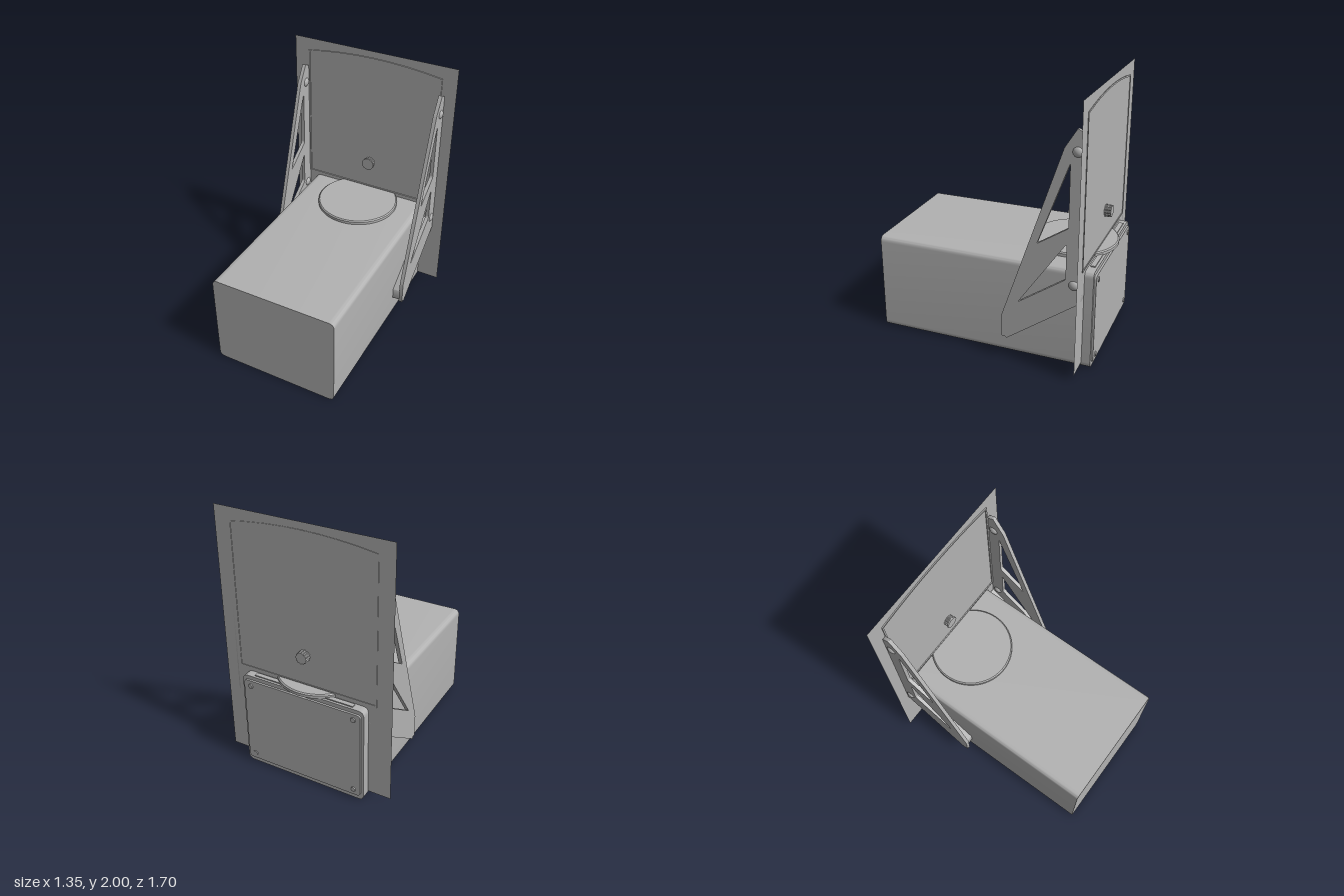
import * as THREE from 'three';
import { toCreasedNormals } from 'three/addons/utils/BufferGeometryUtils.js';

const grey = new THREE.MeshStandardMaterial({ color: 0xb2b2b2, side: THREE.DoubleSide });
grey.name = 'grey';

const BACK = -0.745; // plane of the upright panel

function add(parent, name, geometry, x = 0, y = 0, z = 0) {
  const mesh = new THREE.Mesh(geometry, grey);
  mesh.name = name;
  mesh.position.set(x, y, z);
  parent.add(mesh);
  return mesh;
}

function extrude(shape, depth) {
  const g = new THREE.ExtrudeGeometry(shape, { depth, bevelEnabled: false, curveSegments: 8 });
  return toCreasedNormals(g, 0.6);
}

// Polygon with slightly rounded corners
function softPolygon(points, r, Type = THREE.Shape) {
  const shape = new Type();
  const v = points.map(([x, y]) => new THREE.Vector2(x, y));
  v.forEach((p, i) => {
    const step = (q) => p.clone().add(q.clone().sub(p).setLength(r));
    const a = step(v[(i + v.length - 1) % v.length]);
    const b = step(v[(i + 1) % v.length]);
    if (i === 0) shape.moveTo(a.x, a.y);
    else shape.lineTo(a.x, a.y);
    shape.quadraticCurveTo(p.x, p.y, b.x, b.y);
  });
  shape.closePath();
  return shape;
}

const roundedRect = (w, y0, y1, r) =>
  softPolygon([[-w, y0], [w, y0], [w, y1], [-w, y1]], r);

// Side profiles are drawn as (-z, y) and extruded along x
const sideExtrude = (shape, width) => extrude(shape, width).rotateY(Math.PI / 2);

// Door outline with an arched top
function doorOutline(inset, Type) {
  const w = 0.558 - inset, side = 1.9 - inset;
  const s = new Type();
  s.moveTo(-w, 0.785 + inset);
  s.lineTo(w, 0.785 + inset);
  s.lineTo(w, side);
  s.quadraticCurveTo(0, side + 0.092, -w, side);
  s.closePath();
  return s;
}

// Round knob with a fluted grip
function flutedShape(r, flutes) {
  const pts = [];
  for (let i = 0; i < flutes * 4; i++) {
    const a = (i / (flutes * 4)) * Math.PI * 2;
    const k = i % 4 < 2 ? r : r * 0.88;
    pts.push(new THREE.Vector2(Math.cos(a) * k, Math.sin(a) * k));
  }
  return new THREE.Shape(pts);
}

export function createModel() {
  const model = new THREE.Group();
  model.name = 'cabinetWithPanel';

  // Long body with rounded lengthwise edges
  add(model, 'body', extrude(roundedRect(0.495, 0, 0.76, 0.045), 1.655), 0, 0, -0.81);
  add(model, 'rearLedge', new THREE.BoxGeometry(0.8, 0.012, 0.035), 0, 0.762, -0.775);

  // Rear cover with corner screws
  add(model, 'rearCover', extrude(roundedRect(0.475, 0.04, 0.73, 0.03), 0.016), 0, 0, -0.825);
  for (const x of [-0.42, 0.42])
    for (const y of [0.085, 0.685]) {
      const screw = new THREE.CylinderGeometry(0.017, 0.02, 0.008, 16).rotateX(-Math.PI / 2);
      add(model, 'rearScrew', screw, x, y, -0.828);
    }

  // Turntable disc on the body
  const disc = new THREE.LatheGeometry(
    [[0, 0], [0.321, 0], [0.321, 0.022], [0.312, 0.03], [0, 0.03]].map(([x, y]) => new THREE.Vector2(x, y)), 64);
  add(model, 'disc', toCreasedNormals(disc, 0.5), 0, 0.76, -0.53);

  // Upright panel, with a raised rim around the door
  add(model, 'panel', new THREE.PlaneGeometry(1.35, 1.96), 0, 1.02, BACK);
  const rim = doorOutline(0, THREE.Shape);
  rim.holes.push(doorOutline(0.012, THREE.Path));
  add(model, 'doorRim', extrude(rim, 0.012), 0, 0, BACK - 0.004);

  // Knob through the door
  const knob = new THREE.Group();
  knob.name = 'knob';
  knob.position.set(0, 1.025, 0);
  add(knob, 'knobGrip', new THREE.ExtrudeGeometry(flutedShape(0.045, 12), { depth: 0.085, bevelEnabled: false }), 0, 0, -0.795);
  add(knob, 'knobFlange', toCreasedNormals(new THREE.CylinderGeometry(0.05, 0.05, 0.01, 32).rotateX(Math.PI / 2), 0.6), 0, 0, -0.705);
  model.add(knob);

  // Triangular side brackets with two windows, a sloping shelf and bolts
  const profile = softPolygon([[0.17, 0.18], [0.17, 0.36], [0.605, 1.66], [0.69, 1.795],
    [0.745, 1.765], [0.745, 0.56], [0.205, 0.17], [0.19, 0.19]], 0.008);
  profile.holes.push(
    softPolygon([[0.428, 0.96], [0.648, 1.105], [0.648, 1.56]], 0.015, THREE.Path),
    softPolygon([[0.293, 0.485], [0.638, 0.725], [0.638, 0.99]], 0.015, THREE.Path));
  const shelf = softPolygon([[0.195, 0.175], [0.195, 0.265], [0.745, 0.645], [0.745, 0.562]], 0.004);

  for (const side of [1, -1]) {
    const bracket = new THREE.Group();
    bracket.name = side > 0 ? 'leftBracket' : 'rightBracket';
    add(bracket, 'bracketPlate', sideExtrude(profile, 0.028), side * 0.572 - 0.014);
    add(bracket, 'bracketShelf', sideExtrude(shelf, 0.08), side * 0.53 - 0.04);
    for (const y of [0.69, 1.64]) {
      const bolt = add(bracket, 'bolt', new THREE.SphereGeometry(1, 24, 16), side * 0.572, y, -0.695);
      bolt.scale.set(0.03, 0.04, 0.04);
    }
    model.add(bracket);
  }
  return model;
}
